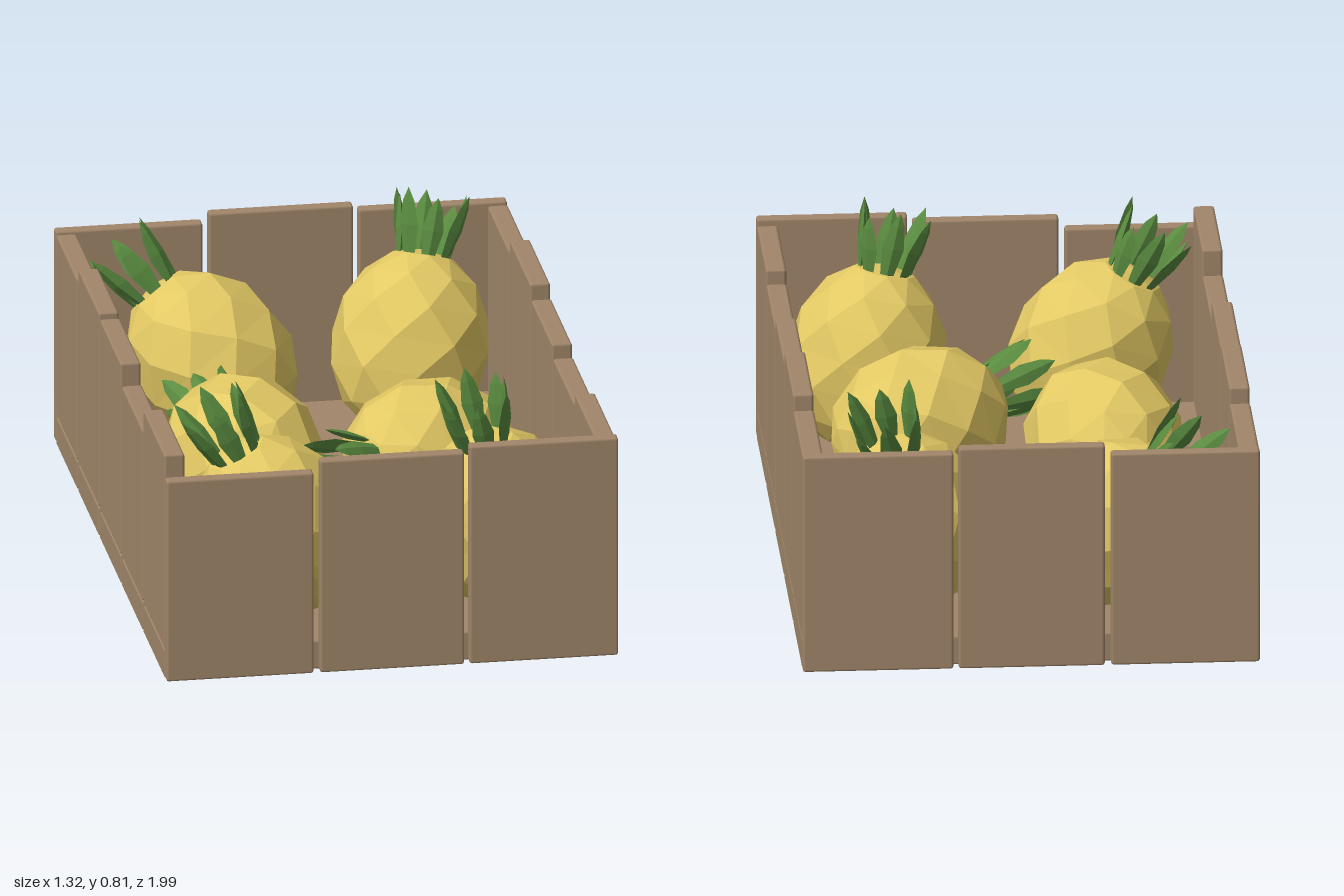
import * as THREE from 'three';
import { RoundedBoxGeometry } from 'three/addons/geometries/RoundedBoxGeometry.js';

const wood = new THREE.MeshStandardMaterial({ color: 0xa1866a });
const skin = new THREE.MeshStandardMaterial({ color: 0xe3c964, flatShading: true });
const green = new THREE.MeshStandardMaterial({ color: 0x5a8c40, flatShading: true });

// Board with softened edges, given by its two opposite corners
function board(name, [x0, y0, z0], [x1, y1, z1]) {
  const geo = new RoundedBoxGeometry(x1 - x0, y1 - y0, z1 - z0, 1, 0.008);
  const mesh = new THREE.Mesh(geo, wood);
  mesh.position.set((x0 + x1) / 2, (y0 + y1) / 2, (z0 + z1) / 2);
  mesh.name = name;
  return mesh;
}

// Faceted fruit body: staggered rings give the diamond pattern
function bodyGeometry() {
  const sides = 8;
  const rings = [[-0.26, 0.09], [-0.2, 0.17], [-0.1, 0.22], [0, 0.232], [0.1, 0.215], [0.19, 0.165], [0.25, 0.09]];
  const pos = [0, -0.28, 0], index = [];
  rings.forEach(([y, r], i) => {
    for (let k = 0; k < sides; k++) {
      const a = ((k + (i % 2) / 2) / sides) * Math.PI * 2;
      pos.push(r * Math.sin(a), y, r * Math.cos(a));
    }
  });
  pos.push(0, 0.27, 0);
  const at = (i, k) => 1 + i * sides + ((k + sides) % sides);
  const last = rings.length - 1, top = 1 + rings.length * sides;
  for (let k = 0; k < sides; k++) {
    index.push(0, at(0, k + 1), at(0, k), top, at(last, k), at(last, k + 1));
    for (let i = 0; i < last; i++) {
      const a = at(i, k), b = at(i, k + 1), c = at(i + 1, k), d = at(i + 1, k + 1);
      if (i % 2 === 0) index.push(a, b, c, b, d, c);
      else index.push(a, b, d, a, d, c);
    }
  }
  const geo = new THREE.BufferGeometry();
  geo.setAttribute('position', new THREE.Float32BufferAttribute(pos, 3));
  geo.setIndex(index);
  geo.computeVertexNormals();
  return geo;
}

// Thin pointed leaf growing along +y
function leafGeometry() {
  const profile = [[0, 0], [0.02, 0.02], [0.032, 0.1], [0.02, 0.17], [0, 0.21]];
  const geo = new THREE.LatheGeometry(profile.map(([x, y]) => new THREE.Vector2(x, y)), 4);
  return geo.scale(0.35, 1, 1).rotateY(Math.PI / 2);
}

function pineapple(bodyGeo, leafGeo) {
  const fruit = new THREE.Group();
  const body = new THREE.Mesh(bodyGeo, skin);
  body.name = 'fruitBody';
  fruit.add(body);
  const crown = new THREE.Group();
  crown.name = 'leafCrown';
  const count = 8;
  for (let i = 0; i < count; i++) {
    const pivot = new THREE.Group();
    pivot.rotation.y = (i / count) * Math.PI * 2;
    const leaf = new THREE.Mesh(leafGeo, green);
    leaf.name = 'leaf';
    leaf.position.set(0, 0.235, 0.07);
    leaf.rotation.x = i % 2 ? 0.28 : 0.14;
    leaf.scale.y = i % 3 ? 1 : 0.88;
    pivot.add(leaf);
    crown.add(pivot);
  }
  fruit.add(crown);
  return fruit;
}

export function createModel() {
  const model = new THREE.Group();
  const crate = new THREE.Group();
  crate.name = 'crate';
  model.add(crate);

  // Floor slats with uneven side boards standing on their ends, back to front
  const bands = [[-0.95, -0.585], [-0.565, -0.205], [-0.185, 0.18], [0.2, 0.56], [0.58, 0.95]];
  const leftTops = [0.66, 0.7, 0.66, 0.625, 0.66];
  const rightTops = [0.65, 0.69, 0.68, 0.62, 0.69];
  bands.forEach(([z0, z1], i) => {
    crate.add(board('floorSlat', [-0.66, 0, z0], [0.66, 0.09, z1]));
    crate.add(board('leftBoard', [0.6, 0.09, z0], [0.66, leftTops[i], z1]));
    crate.add(board('rightBoard', [-0.66, 0.09, z0], [-0.6, rightTops[i], z1]));
  });

  // End boards
  const spans = [[-0.66, -0.23], [-0.212, 0.21], [0.225, 0.66]];
  const frontTops = [0.625, 0.66, 0.677];
  const backTops = [0.655, 0.682, 0.667];
  spans.forEach(([x0, x1], i) => {
    crate.add(board('frontBoard', [x0, 0.005, 0.955], [x1, frontTops[i], 0.995]));
    crate.add(board('backBoard', [x0, 0.005, -0.998], [x1, backTops[i], -0.958]));
  });

  // Fruit: centre, then direction of the leafy end
  const fruits = [
    [[-0.25, 0.34, -0.7], [-0.17, 0.21, -0.1]],
    [[0.33, 0.36, -0.68], [0.06, 0.26, -0.1]],
    [[-0.28, 0.32, 0.02], [-0.04, 0, -0.28]],
    [[0.24, 0.33, 0.16], [-0.8, 0.15, 0.55]],
    [[-0.29, 0.36, 0.69], [-0.13, 0.25, -0.01]],
    [[0.36, 0.35, 0.7], [-0.06, 0.27, 0.04]],
  ];
  const bodyGeo = bodyGeometry(), leafGeo = leafGeometry();
  const up = new THREE.Vector3(0, 1, 0);
  fruits.forEach(([centre, axis]) => {
    const fruit = pineapple(bodyGeo, leafGeo);
    fruit.name = 'pineapple';
    fruit.position.set(...centre);
    fruit.quaternion.setFromUnitVectors(up, new THREE.Vector3(...axis).normalize());
    model.add(fruit);
  });
  return model;
}
